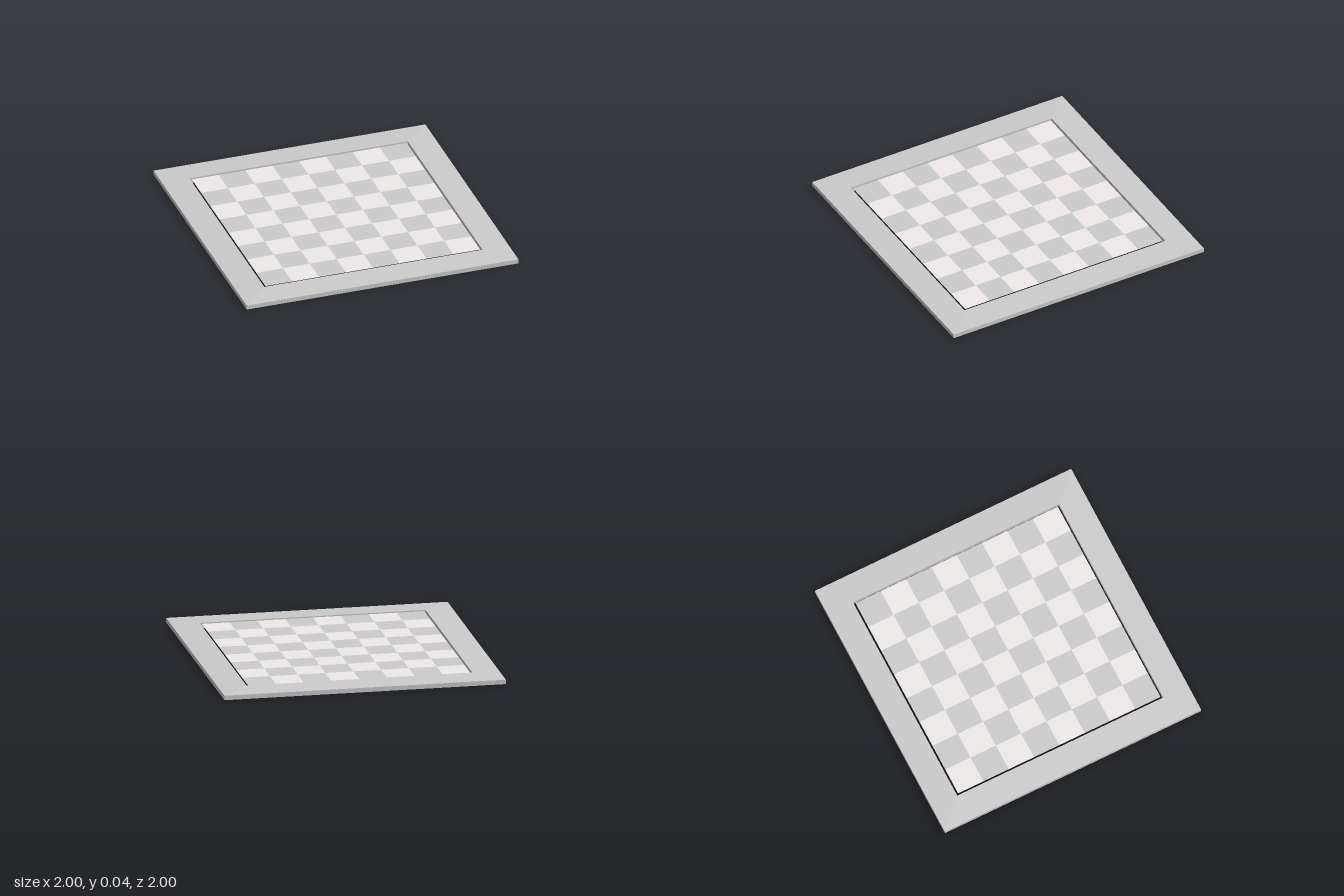
import * as THREE from 'three';

export function createModel() {
  const board = new THREE.Group();
  board.name = 'chessboard';
  const grey = new THREE.MeshStandardMaterial({ color: 0xcccccc, side: THREE.DoubleSide });
  const pale = new THREE.MeshStandardMaterial({ color: 0xf0eaea, side: THREE.DoubleSide });

  // Mitred frame: a closed profile (half width, height) swept round four sides
  const profile = [
    [0.803, 0], [1, 0], [1, 0.032], [0.803, 0.04], [0.803, 0],
  ].map(([half, y]) => new THREE.Vector2(half * Math.SQRT2, y));
  const frameGeometry = new THREE.LatheGeometry(profile, 4, Math.PI / 4).toNonIndexed();
  frameGeometry.computeVertexNormals();
  const frame = new THREE.Mesh(frameGeometry, grey);
  frame.name = 'frame';
  board.add(frame);

  // Thin playing field, set in the frame with a narrow gap all round
  const squares = new THREE.Group();
  squares.name = 'squares';
  const half = 0.79, size = half / 4;
  const tile = new THREE.PlaneGeometry(size, size).rotateX(-Math.PI / 2);
  for (let row = 0; row < 8; row++) {
    for (let col = 0; col < 8; col++) {
      const light = (row + col) % 2 === 0;
      const square = new THREE.Mesh(tile, light ? pale : grey);
      square.name = light ? 'lightSquare' : 'darkSquare';
      square.position.set((col - 3.5) * size, 0.036, (row - 3.5) * size);
      squares.add(square);
    }
  }
  board.add(squares);
  return board;
}
